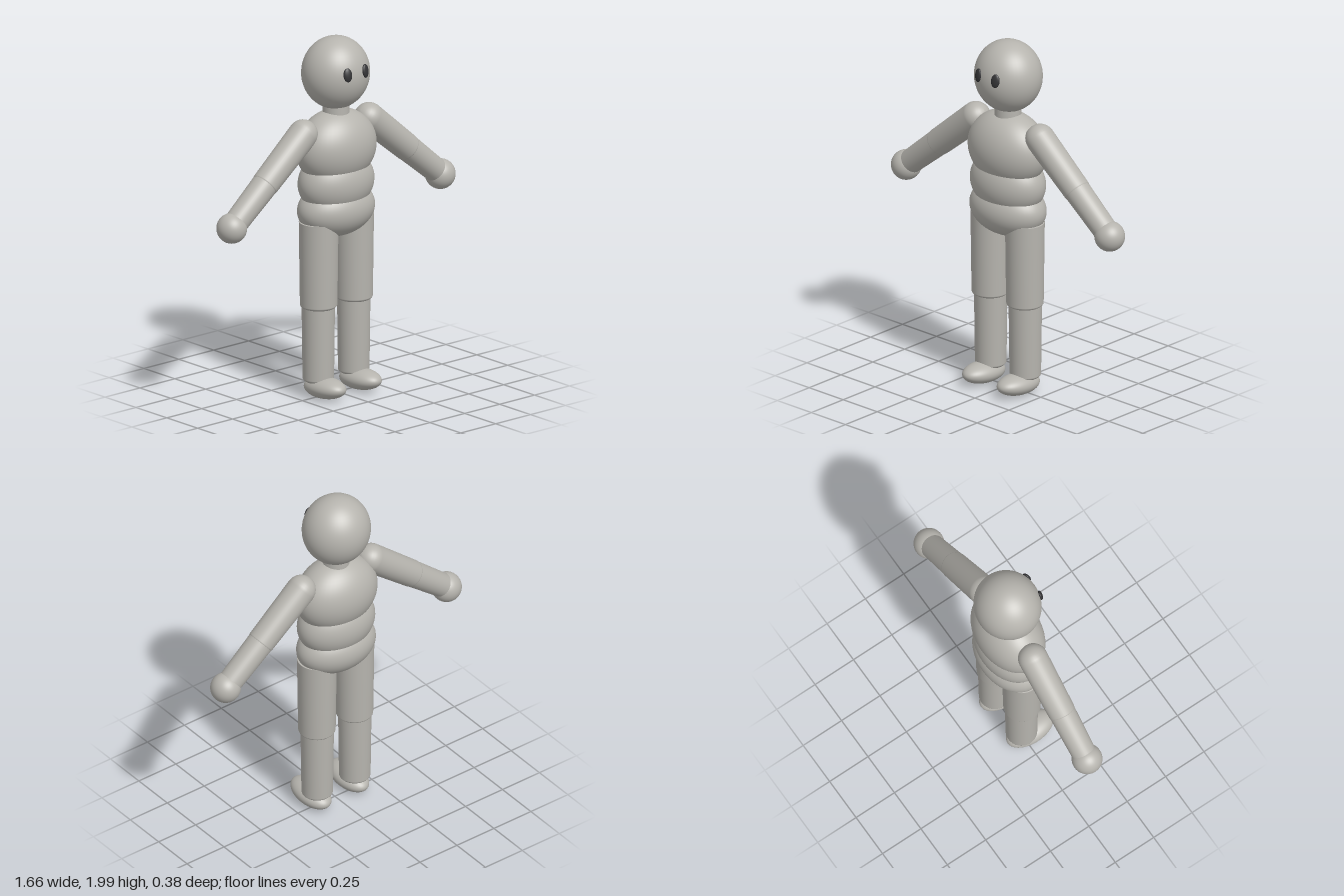
import * as THREE from 'three';

const Z = -0.01; // depth of the body's axis

export function createModel() {
  const body = new THREE.MeshStandardMaterial({ color: 0xb6b4ae });
  body.name = 'warm grey';
  const dark = new THREE.MeshStandardMaterial({ color: 0x343436 });
  dark.name = 'charcoal';

  const model = new THREE.Group();
  model.name = 'mannequin';

  const add = (name, geometry, material, x, y, z, parent = model) => {
    const mesh = new THREE.Mesh(geometry, material);
    mesh.name = name;
    mesh.position.set(x, y, z);
    parent.add(mesh);
    return mesh;
  };
  const ellipsoid = (rx, ry, rz) => new THREE.SphereGeometry(1, 48, 32).scale(rx, ry, rz);

  // Tapered limb hanging down from its origin, with caps of chosen height
  const limb = (length, rTop, rBottom, capTop, capBottom) => {
    const points = [];
    const steps = 8;
    for (let i = 0; i <= steps; i++) {
      const a = (i / steps) * Math.PI / 2;
      points.push(new THREE.Vector2(rBottom * Math.sin(a), -length - capBottom * Math.cos(a)));
    }
    for (let i = 0; i <= steps; i++) {
      const a = (i / steps) * Math.PI / 2;
      points.push(new THREE.Vector2(rTop * Math.cos(a), capTop * Math.sin(a)));
    }
    return new THREE.LatheGeometry(points, 40);
  };

  // Head and neck
  add('head', ellipsoid(0.19, 0.2, 0.18), body, 0, 1.8, Z - 0.003);
  add('neck', new THREE.CylinderGeometry(0.072, 0.075, 0.12, 40), body, 0, 1.59, Z);

  // Torso of three stacked masses
  add('chest', ellipsoid(0.248, 0.21, 0.175), body, 0, 1.385, Z);
  add('abdomen', ellipsoid(0.233, 0.18, 0.167), body, 0, 1.19, Z);
  add('pelvis', ellipsoid(0.238, 0.153, 0.167), body, 0, 1.04, Z);

  for (const [side, s] of [['left', 1], ['right', -1]]) {
    // Eye
    const eye = add(side + 'Eye', ellipsoid(0.025, 0.038, 0.012), dark, s * 0.063, 1.832, 0.157);
    eye.rotation.set(-0.15, s * 0.3, 0);

    // Arm, swung outward from the shoulder
    const shoulder = new THREE.Vector2(0.236, 1.498);
    const hand = new THREE.Vector2(0.747, 1.075);
    const reach = hand.clone().sub(shoulder);
    const length = reach.length();
    const arm = new THREE.Group();
    arm.name = side + 'Arm';
    arm.position.set(s * shoulder.x, shoulder.y, Z);
    arm.rotation.z = s * Math.atan2(reach.x, -reach.y);
    model.add(arm);
    const elbow = length * 0.53;
    add(side + 'UpperArm', limb(elbow, 0.081, 0.075, 0.081, 0.03), body, 0, 0, 0, arm);
    add(side + 'Forearm', limb(length - elbow, 0.073, 0.066, 0.07, 0.02), body, 0, -elbow, 0, arm);
    add(side + 'Hand', ellipsoid(0.083, 0.083, 0.083), body, 0, -length, 0, arm);

    // Leg
    const x = s * 0.127;
    add(side + 'Thigh', limb(0.465, 0.107, 0.101, 0.003, 0.03), body, x, 0.987, Z + 0.003);
    add(side + 'Shin', limb(0.42, 0.09, 0.085, 0.06, 0.03), body, x, 0.53, Z);
    const foot = add(side + 'Foot', ellipsoid(0.084, 0.058, 0.145), body, x, 0.065, 0.045);
    foot.rotation.x = -0.07;
  }
  return model;
}
